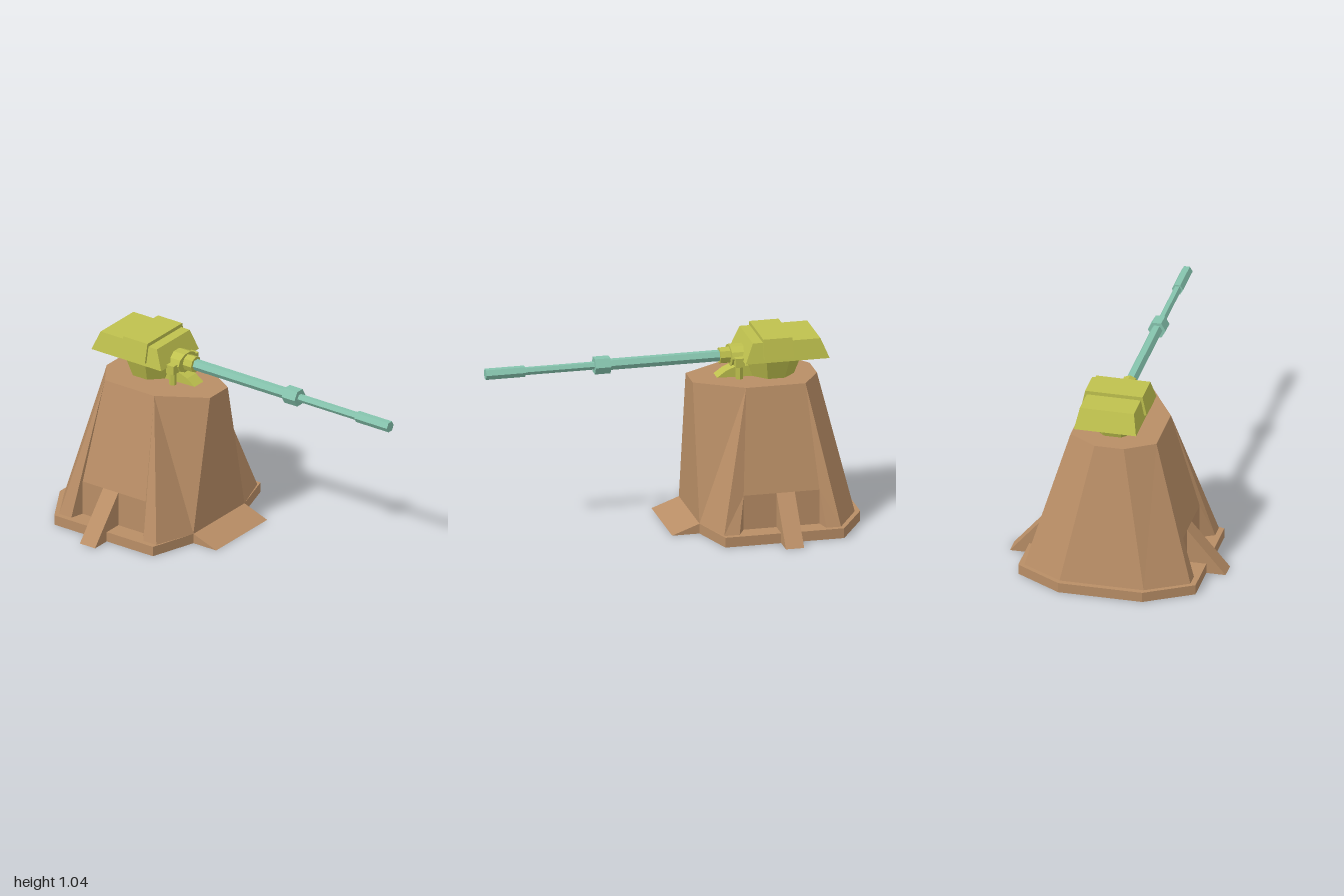
import * as THREE from 'three';

const material = (name, color) => {
  const m = new THREE.MeshStandardMaterial({ color, flatShading: true, side: THREE.DoubleSide });
  m.name = name;
  return m;
};

// Flat polygons, fan-triangulated; optionally mirrored across z = 0
function facets(polygons, mirror = false) {
  const pos = [];
  const add = (p) => {
    for (let i = 1; i < p.length - 1; i++) pos.push(...p[0], ...p[i], ...p[i + 1]);
  };
  for (const p of polygons) {
    add(p);
    if (mirror) add(p.map(([x, y, z]) => [x, y, -z]).reverse());
  }
  const g = new THREE.BufferGeometry();
  g.setAttribute('position', new THREE.Float32BufferAttribute(pos, 3));
  g.computeVertexNormals();
  return g;
}

// Box with a smaller top: bottom and top are [x0, x1, halfDepth, y]
function taperedBox(bottom, top) {
  const ring = ([x0, x1, d, y]) => [[x0, y, d], [x1, y, d], [x1, y, -d], [x0, y, -d]];
  const b = ring(bottom), t = ring(top);
  const polys = [t, [...b].reverse()];
  for (let i = 0; i < 4; i++) {
    const j = (i + 1) % 4;
    polys.push([b[i], b[j], t[j], t[i]]);
  }
  return facets(polys);
}

// Prism lying along x
function rod(x0, x1, r0, r1, sides) {
  return new THREE.CylinderGeometry(r1, r0, x1 - x0, sides)
    .rotateZ(-Math.PI / 2).translate((x0 + x1) / 2, 0, 0);
}

export function createModel() {
  const model = new THREE.Group();
  const brown = material('clay brown', 0xb98e66);
  const olive = material('olive yellow', 0xbfc14e);
  const teal = material('pale teal', 0x86c4ae);

  const mesh = (parent, name, geometry, mat) => {
    const m = new THREE.Mesh(geometry, mat);
    m.name = name;
    parent.add(m);
    return m;
  };

  // ---- Tower: half described on +z, then mirrored; open underneath
  const Y = 0.055;
  const A = [-0.7, 0.8, 0.235], B = [-0.375, 0.8, 0.235];
  const C = [-0.84, Y, 0.455], D = [-0.2, Y, 0.455];
  const E = [-0.74, 0.246, 0.38], F = [-0.325, 0.246, 0.38];
  const G = [-0.76, Y, 0.455], H = [-0.285, Y, 0.455];
  const E0 = [-0.74, Y, 0.38], F0 = [-0.325, Y, 0.38];
  const I = [-0.12, Y, 0.23], J = [-0.12, 0.8, 0.08];
  const K = [-0.8, 0.8, 0.08], L = [-0.97, Y, 0.23];
  const mid = ([x, y]) => [x, y, 0];
  const ground = ([x, , z]) => [x, 0, z];

  mesh(model, 'towerWalls', facets([
    [A, E, F, B], [A, C, G, E], [B, F, H, D],
    [B, D, I], [B, I, J], [A, L, C], [A, K, L],
    [J, I, mid(I), mid(J)], [mid(K), mid(L), L, K],
    [A, B, J, mid(J), mid(K), K],
  ], true), brown);

  mesh(model, 'sideNiches', facets([
    [E, E0, F0, F], [E0, G, H, F0], [E, G, E0], [F, F0, H],
  ], true), brown);

  // ---- Base rim around the foot of the tower
  const P = [-1, Y, 0.23], Q = [-0.85, Y, 0.485], R = [-0.2, Y, 0.485];
  const rim = [[L, P, Q, C], [C, Q, R, D], [D, R, I], [mid(P), P, L, mid(L)]];
  const edge = [mid(P), P, Q, R, I];
  for (let i = 0; i < edge.length - 1; i++) {
    rim.push([edge[i], ground(edge[i]), ground(edge[i + 1]), edge[i + 1]]);
  }
  mesh(model, 'baseRim', facets(rim, true), brown);

  // ---- Entrance ramp
  const T = [0.03, 0, 0.23];
  mesh(model, 'ramp', facets([[I, T, mid(T), mid(I)], [I, ground(I), T]], true), brown);

  // ---- Sloping buttress in each niche
  const wedge = (x) => [[x, 0.246, 0.38], [x, 0, 0.59], [x, 0, 0.38]];
  const w0 = wedge(-0.605), w1 = wedge(-0.505);
  mesh(model, 'buttresses', facets([
    [w0[0], w0[1], w1[1], w1[0]], [w0[0], w0[2], w0[1]], w1,
  ], true), brown);

  // ---- Turret
  const turret = new THREE.Group();
  turret.name = 'turret';
  turret.position.z = -0.012;
  model.add(turret);

  mesh(turret, 'turretNeck', new THREE.CylinderGeometry(0.165, 0.122, 0.112, 8)
    .rotateY(Math.PI / 8).translate(-0.567, 0.857, 0), olive);
  mesh(turret, 'turretCover',
    taperedBox([-0.845, -0.385, 0.17, 0.912], [-0.8, -0.43, 0.148, 1.02]), olive);
  mesh(turret, 'coverBand',
    taperedBox([-0.645, -0.485, 0.18, 0.932], [-0.645, -0.485, 0.157, 1.04]), olive);

  // Sloping front bracket
  const bracket = new THREE.Shape([[-0.46, 0.8], [-0.26, 0.805], [-0.31, 0.84], [-0.36, 0.86], [-0.46, 0.86]]
    .map(([x, y]) => new THREE.Vector2(x, y)));
  mesh(turret, 'frontBracket', new THREE.ExtrudeGeometry(bracket, { depth: 0.08, bevelEnabled: false })
    .translate(0, 0, -0.04), olive);

  // Cradle arms and posts
  for (const s of [1, -1]) {
    mesh(turret, 'cradlePost', new THREE.CylinderGeometry(0.02, 0.02, 0.075, 6)
      .translate(-0.37, 0.845, s * 0.085), olive);
    mesh(turret, 'cradleArm', new THREE.BoxGeometry(0.05, 0.05, 0.06)
      .translate(-0.37, 0.902, s * 0.083), olive);
  }

  // ---- Gun
  const gun = new THREE.Group();
  gun.name = 'gun';
  gun.position.y = 0.916;
  turret.add(gun);
  mesh(gun, 'mantlet', rod(-0.41, -0.335, 0.055, 0.055, 10).scale(1, 1, 1.5), olive);
  mesh(gun, 'barrelCollar', rod(-0.335, -0.28, 0.045, 0.045, 8), olive);
  for (const [name, x0, x1, r] of [
    ['barrelRear', -0.3, 0.32, 0.031],
    ['barrelSleeve', 0.32, 0.405, 0.049],
    ['barrelFront', 0.405, 0.785, 0.022],
    ['muzzle', 0.785, 1, 0.031],
  ]) mesh(gun, name, rod(x0, x1, r, r, 6), teal);

  return model;
}
